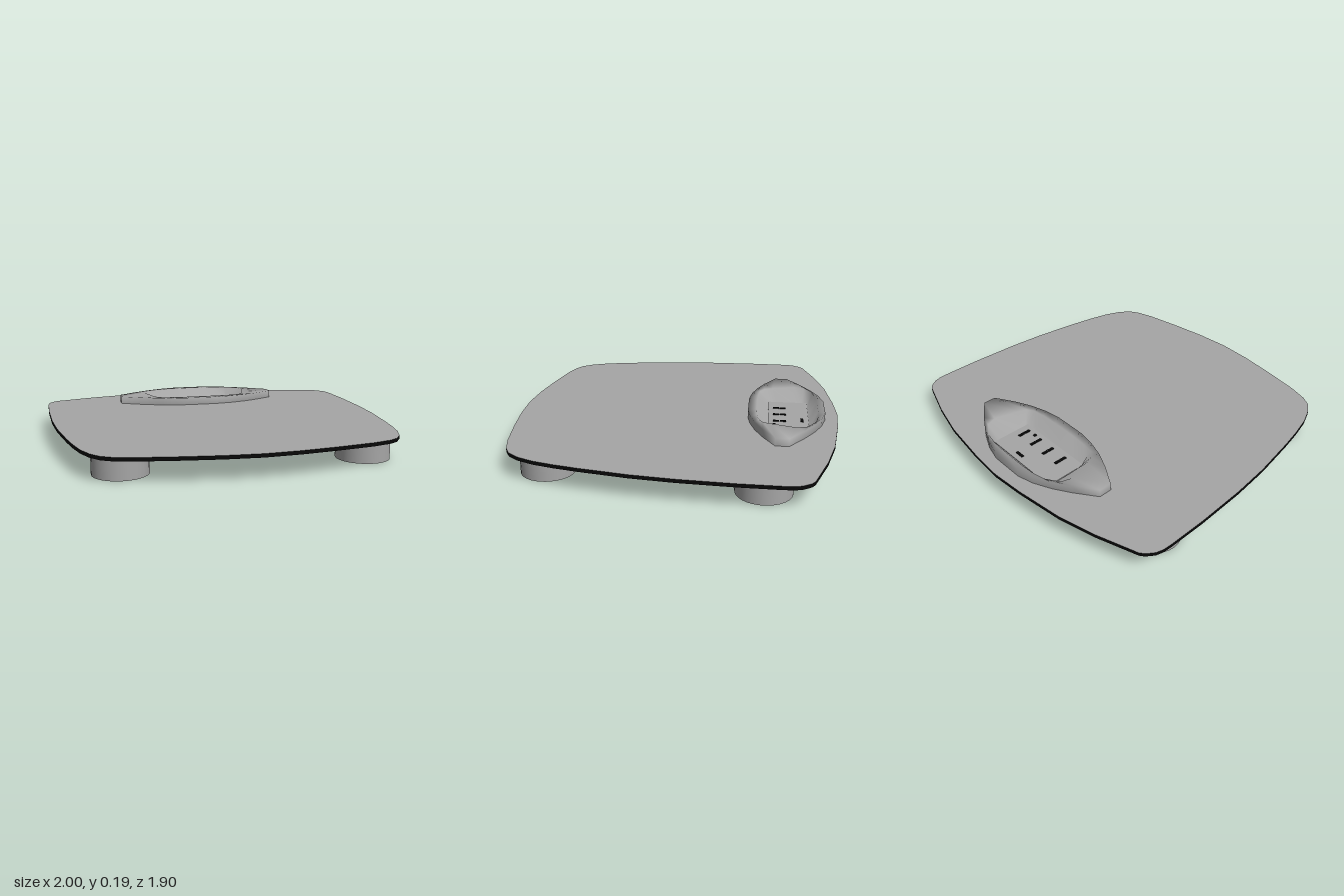
import * as THREE from 'three';

const mat = (name, color, side = THREE.FrontSide) =>
  Object.assign(new THREE.MeshStandardMaterial({ color, side }), { name });

// Completes a right half outline [x, z] (back to front) with its mirror image
const mirror = (half) => [...half, ...half.slice().reverse().map(([x, z]) => [-x, z])];

// Outline [x, z] as 2D points for a shape that is later laid flat
const flat = (pts) => pts.map(([x, z]) => new THREE.Vector2(x, -z));

// Joins equal-length rings of [x, y, z] points into one smooth skin
function loft(rings) {
  const n = rings[0].length, index = [];
  for (let r = 0; r < rings.length - 1; r++) {
    for (let i = 0; i < n; i++) {
      const j = (i + 1) % n, a = r * n, b = a + n;
      index.push(a + i, b + i, b + j, a + i, b + j, a + j);
    }
  }
  const g = new THREE.BufferGeometry();
  g.setAttribute('position', new THREE.Float32BufferAttribute(rings.flat(2), 3));
  g.setIndex(index);
  g.computeVertexNormals();
  return g;
}

export function createModel() {
  const model = new THREE.Group();
  model.name = 'bathroomScale';
  const grey = mat('grey', 0xa6a6a6);
  const black = mat('black', 0x080808);

  const add = (name, geometry, material, x = 0, y = 0, z = 0, parent = model) => {
    const mesh = new THREE.Mesh(geometry, material);
    mesh.name = name;
    mesh.position.set(x, y, z);
    parent.add(mesh);
    return mesh;
  };

  // Outlines, right half from back to front
  const plateOutline = mirror([
    [0.01, -0.95], [0.2, -0.937], [0.48, -0.902], [0.7, -0.85], [0.93, -0.775], [0.955, -0.757],
    [0.985, -0.715], [0.997, -0.675], [1, -0.62], [1, -0.4], [0.988, -0.1], [0.967, 0.13],
    [0.925, 0.4], [0.9, 0.53], [0.87, 0.65], [0.83, 0.745], [0.785, 0.805], [0.73, 0.838],
    [0.62, 0.87], [0.4, 0.908], [0.2, 0.935], [0.01, 0.947],
  ]);
  const podOutline = mirror([
    [0.1, -0.87], [0.2, -0.845], [0.3, -0.8], [0.4, -0.74], [0.52, -0.655],
    [0.52, -0.58], [0.4, -0.51], [0.3, -0.465], [0.2, -0.435], [0.1, -0.42],
  ]);
  const opening = mirror([
    [0.08, -0.83], [0.17, -0.825], [0.25, -0.81], [0.33, -0.76], [0.35, -0.7],
    [0.31, -0.56], [0.29, -0.51], [0.25, -0.485], [0.18, -0.475], [0.08, -0.47],
  ]);
  const floor = mirror([
    [0.08, -0.78], [0.17, -0.78], [0.25, -0.78], [0.25, -0.75], [0.25, -0.7],
    [0.25, -0.6], [0.25, -0.56], [0.25, -0.54], [0.17, -0.54], [0.08, -0.54],
  ]);

  // Standing plate with a black edge and a cut-out for the display pod
  const shape = new THREE.Shape(flat(plateOutline));
  shape.holes.push(new THREE.Path(flat(
    podOutline.map(([x, z]) => [x * 0.95, -0.64 + (z + 0.64) * 0.95]))));
  const plate = new THREE.ExtrudeGeometry(shape, { depth: 0.02, bevelEnabled: false });
  plate.rotateX(-Math.PI / 2);
  add('standingPlate', plate, [grey, black], 0, 0.12, 0);

  // Display pod: flat underside, upright wall, rim and sunken floor
  const at = (outline, y) => outline.map(([x, z]) => [x, y, z]);
  const centre = podOutline.map(() => [0, -0.645]);
  add('displayPod', loft([
    at(centre, 0.02), at(podOutline, 0.02), at(podOutline, 0.185),
    at(opening, 0.185), at(floor, 0.11), at(centre, 0.11),
  ]), grey);

  // Display panel and its readout
  const display = new THREE.Group();
  display.name = 'display';
  display.position.set(0, 0.113, -0.66);
  model.add(display);
  add('displayPanel', new THREE.BoxGeometry(0.5, 0.006, 0.24), grey, 0, 0, 0, display);
  const mark = (name, w, d, x, z) =>
    add(name, new THREE.BoxGeometry(w, 0.004, d), black, x, 0.005, z, display);
  for (const x of [-0.135, -0.025, 0.085, 0.195]) {
    for (const z of [0.032, 0.072]) mark('readoutSegment', 0.017, 0.036, x, z);
  }
  mark('readoutPoint', 0.018, 0.018, 0.137, 0.085);
  mark('readoutDash', 0.055, 0.016, 0.06, -0.08);

  // Round support bar between two points [x, z]
  const bar = (name, [x1, z1], [x2, z2]) => {
    const g = new THREE.CylinderGeometry(0.045, 0.045, Math.hypot(x2 - x1, z2 - z1), 20);
    g.rotateX(Math.PI / 2);
    add(name, g, grey, (x1 + x2) / 2, 0.075, (z1 + z2) / 2).rotation.y = Math.atan2(x2 - x1, z2 - z1);
  };

  // Feet and the bars that link them, mirrored
  for (const [label, s] of [['left', 1], ['right', -1]]) {
    const front = [0.67 * s, 0.63], rear = [0.79 * s, -0.53];
    for (const [name, p] of [['FrontFoot', front], ['RearFoot', rear]]) {
      add(label + name, new THREE.CylinderGeometry(0.15, 0.15, 0.12, 32), grey, p[0], 0.06, p[1]);
    }
    bar(label + 'SideBar', front, rear);
    bar(label + 'PodBar', rear, [0.48 * s, -0.62]);
  }
  return model;
}
